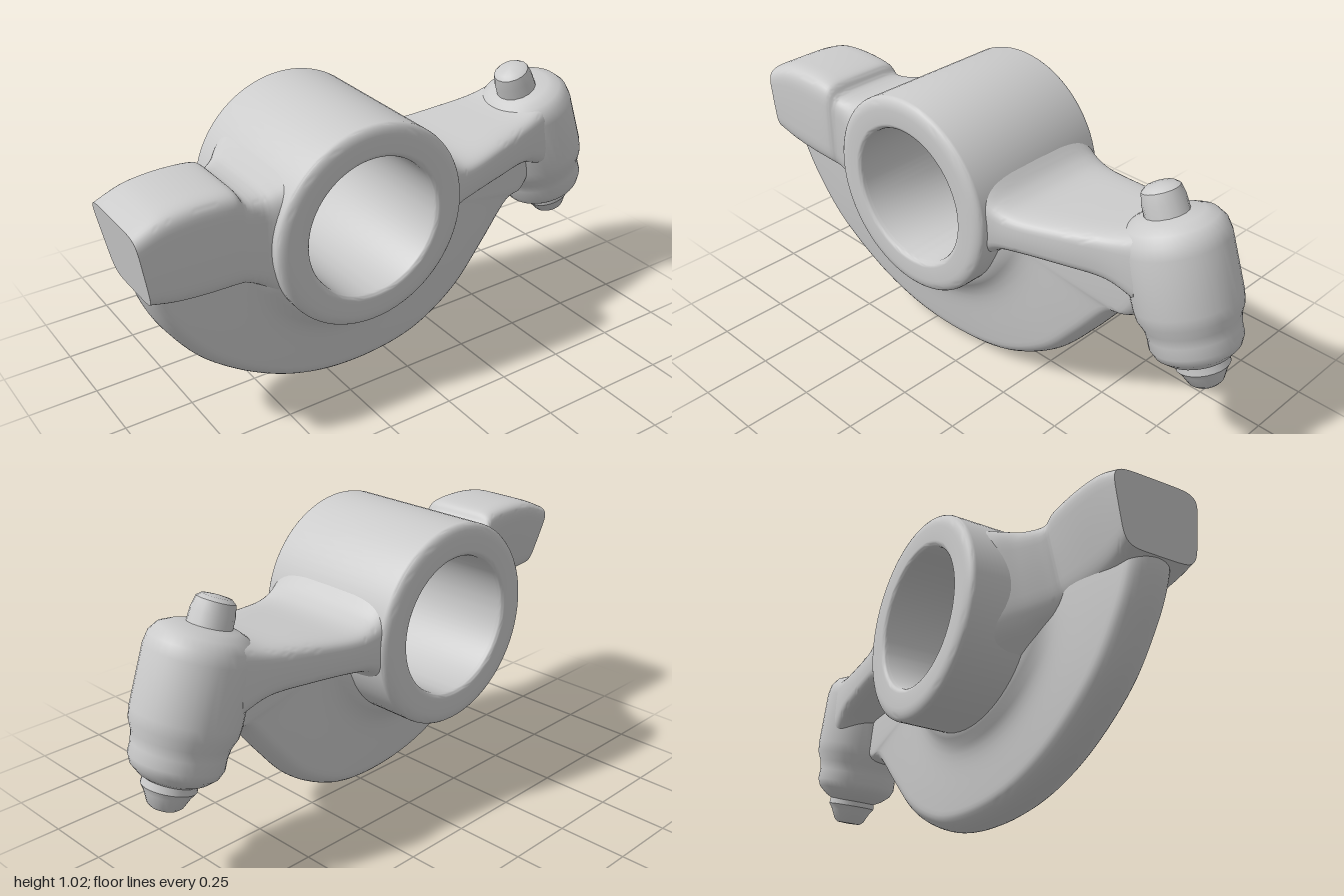
import * as THREE from 'three';
import { toCreasedNormals } from 'three/addons/utils/BufferGeometryUtils.js';

const material = new THREE.MeshStandardMaterial({ color: 0xcccccc });
const HUB = new THREE.Vector2(-0.177, 0.658);
const HUB_RADIUS = 0.366;
const BORE_RADIUS = 0.25;

function addMesh(group, name, geometry) {
  const mesh = new THREE.Mesh(geometry, material);
  mesh.name = name;
  group.add(mesh);
  return mesh;
}

// Skin a list of rings (equal-length arrays of Vector3) and cap both ends.
function skin(rings, crease = 0.7) {
  const n = rings[0].length;
  const points = rings.flat();
  const index = [];
  for (let i = 0; i < rings.length - 1; i++) {
    for (let j = 0; j < n; j++) {
      const a = i * n + j, b = i * n + (j + 1) % n;
      index.push(a, b, a + n, b, b + n, a + n);
    }
  }
  for (const [ring, start, flip] of [[rings[0], 0, true], [rings.at(-1), (rings.length - 1) * n, false]]) {
    const centre = new THREE.Vector3();
    ring.forEach((p) => centre.addScaledVector(p, 1 / n));
    const c = points.push(centre) - 1;
    for (let j = 0; j < n; j++) {
      const a = start + j, b = start + (j + 1) % n;
      index.push(c, flip ? b : a, flip ? a : b);
    }
  }
  const geometry = new THREE.BufferGeometry().setFromPoints(points);
  geometry.setIndex(index);
  return toCreasedNormals(geometry, crease);
}

// Rounded-box loft along x; each section is [x, yMin, yMax, zMin, zMax, lean, undercut].
// Lean shifts the lower part along x, undercut draws the lower back side inward.
function loft(sections, power, steps) {
  const tracks = sections[0].map((_, k) =>
    new THREE.SplineCurve(sections.map((s, i) => new THREE.Vector2(i, s[k]))));
  const round = (v) => Math.sign(v) * Math.abs(v) ** power;
  const rings = [];
  for (let i = 0; i <= steps; i++) {
    const [x, y0, y1, z0, z1, lean, undercut] = tracks.map((t) => t.getPoint(i / steps).y);
    const ring = [];
    for (let j = 0; j < 48; j++) {
      const a = (j / 48) * Math.PI * 2;
      const y = (y0 + y1) / 2 + round(Math.cos(a)) * (y1 - y0) / 2;
      const back = z0 + undercut * (y1 - y);
      const z = (back + z1) / 2 + round(Math.sin(a)) * (z1 - back) / 2;
      ring.push(new THREE.Vector3(x + lean * (y1 - y), y, z));
    }
    rings.push(ring);
  }
  return skin(rings);
}

// Curved web below the hub: radial sections that flare into the hub and round off at the rim.
function webGeometry() {
  const rim = new THREE.SplineCurve([
    [-0.965, 0.66], [-0.945, 0.56], [-0.88, 0.43], [-0.75, 0.265], [-0.55, 0.12], [-0.35, 0.035],
    [-0.15, 0.002], [0.05, 0.01], [0.2, 0.055], [0.35, 0.15], [0.48, 0.295], [0.6, 0.44], [0.68, 0.47],
    [0.73, 0.57], [0.73, 0.69],
  ].map((p) => new THREE.Vector2(...p)));
  const inner = 0.3, rounding = 0.05, across = 22;
  return skin(rim.getPoints(84).map((edge) => {
    const direction = edge.clone().sub(HUB);
    const outer = direction.length();
    direction.normalize();
    const front = [], back = [];
    for (let k = 0; k <= across; k++) {
      const u = Math.sin((k / across) * Math.PI / 2);
      const r = inner + (outer - inner) * u;
      const flare = 0.055 * Math.exp(-Math.max(0, r - HUB_RADIUS) / 0.035);
      const end = Math.max(0, (r - outer + rounding) / rounding);
      const half = (0.108 - 0.032 * u * u + flare) * Math.sqrt(Math.max(0.001, 1 - end * end));
      const p = HUB.clone().addScaledVector(direction, r);
      const middle = 0.055 - 0.07 * p.x;
      front.push(new THREE.Vector3(p.x, p.y, middle + half));
      back.unshift(new THREE.Vector3(p.x, p.y, middle - half));
    }
    return [...front, ...back];
  }), 0.9);
}

function lathe(points, segments) {
  return toCreasedNormals(
    new THREE.LatheGeometry(points.map((p) => new THREE.Vector2(...p)), segments), 0.6);
}

// Tube with softly rounded rims, built around the y axis.
function hubGeometry() {
  const half = 0.3, bevel = 0.025;
  const corners = [[HUB_RADIUS, -half, 0.045], [HUB_RADIUS, half, 0.045], [BORE_RADIUS, half, 0.02], [BORE_RADIUS, -half, 0.02]];
  const profile = [];
  corners.forEach(([r, y, size], i) => {
    const sx = r > 0.3 ? 1 : -1, sy = Math.sign(y);
    const depth = Math.min(size, bevel);
    for (let k = 0; k <= 6; k++) {
      const a = (i - 1 + k / 6) * Math.PI / 2;
      profile.push([r - sx * size + Math.cos(a) * size, y - sy * depth + Math.sin(a) * depth]);
    }
  });
  profile.push(profile[0]);
  return lathe(profile, 72);
}

export function createModel() {
  const group = new THREE.Group();
  group.name = 'rockerArm';

  // Pivot hub with through bore
  const hub = addMesh(group, 'pivotHub', hubGeometry());
  hub.rotation.x = Math.PI / 2;
  hub.position.set(HUB.x, HUB.y, 0);

  // Stiffening web
  addMesh(group, 'web', webGeometry());

  // Cam follower pad and its neck
  addMesh(group, 'followerPad', loft([
    [-1.0, 0.61, 0.862, -0.07, 0.27, 0.14, 0.25],
    [-0.9, 0.59, 0.903, -0.07, 0.27, 0.06, 0.25],
    [-0.78, 0.58, 0.917, -0.07, 0.27, 0, 0.25],
    [-0.66, 0.575, 0.908, -0.072, 0.268, 0, 0.22],
    [-0.62, 0.56, 0.868, -0.085, 0.255, 0, 0.2],
    [-0.56, 0.52, 0.86, -0.14, 0.25, 0, 0.1],
    [-0.51, 0.475, 0.872, -0.2, 0.262, 0, 0],
    [-0.46, 0.43, 0.89, -0.26, 0.275, 0, 0],
  ], 0.34, 56));

  // Tapered valve-side arm
  addMesh(group, 'valveArm', loft([
    [0.1, 0.46, 0.88, -0.285, 0.28, 0, 0],
    [0.15, 0.52, 0.82, -0.285, 0.275, 0, 0],
    [0.21, 0.575, 0.77, -0.277, 0.258, 0, 0],
    [0.29, 0.595, 0.752, -0.265, 0.24, 0, 0],
    [0.45, 0.605, 0.768, -0.24, 0.2, 0, 0],
    [0.6, 0.605, 0.79, -0.217, 0.16, 0, 0],
    [0.71, 0.56, 0.83, -0.2, 0.14, 0, 0],
  ], 0.42, 48));

  // Tilted adjuster assembly: head with stepped foot, and locating pin on top
  const adjuster = new THREE.Group();
  adjuster.name = 'adjuster';
  adjuster.position.set(0.9, 0.285, -0.03);
  adjuster.rotation.z = 0.333;
  group.add(adjuster);
  addMesh(adjuster, 'adjusterHead', lathe([
    [0, 0.07], [0.085, 0.08], [0.115, 0.096], [0.145, 0.122], [0.157, 0.15], [0.156, 0.19], [0.162, 0.225],
    [0.177, 0.26], [0.181, 0.3], [0.18, 0.5], [0.172, 0.54], [0.15, 0.57], [0.11, 0.588], [0, 0.6],
  ], 40));
  const foot = addMesh(adjuster, 'adjusterFoot', lathe([
    [0, -0.012], [0.045, -0.01], [0.06, 0.002], [0.078, 0.04], [0.092, 0.06], [0.09, 0.09], [0.09, 0.13],
  ], 24));
  foot.position.x = 0.008;
  const pin = addMesh(adjuster, 'locatingPin', lathe([
    [0.078, 0], [0.073, 0.12], [0.065, 0.158], [0.05, 0.17], [0, 0.176],
  ], 16));
  pin.position.set(-0.01, 0.515, 0);
  pin.rotation.z = 0.06;

  return group;
}
